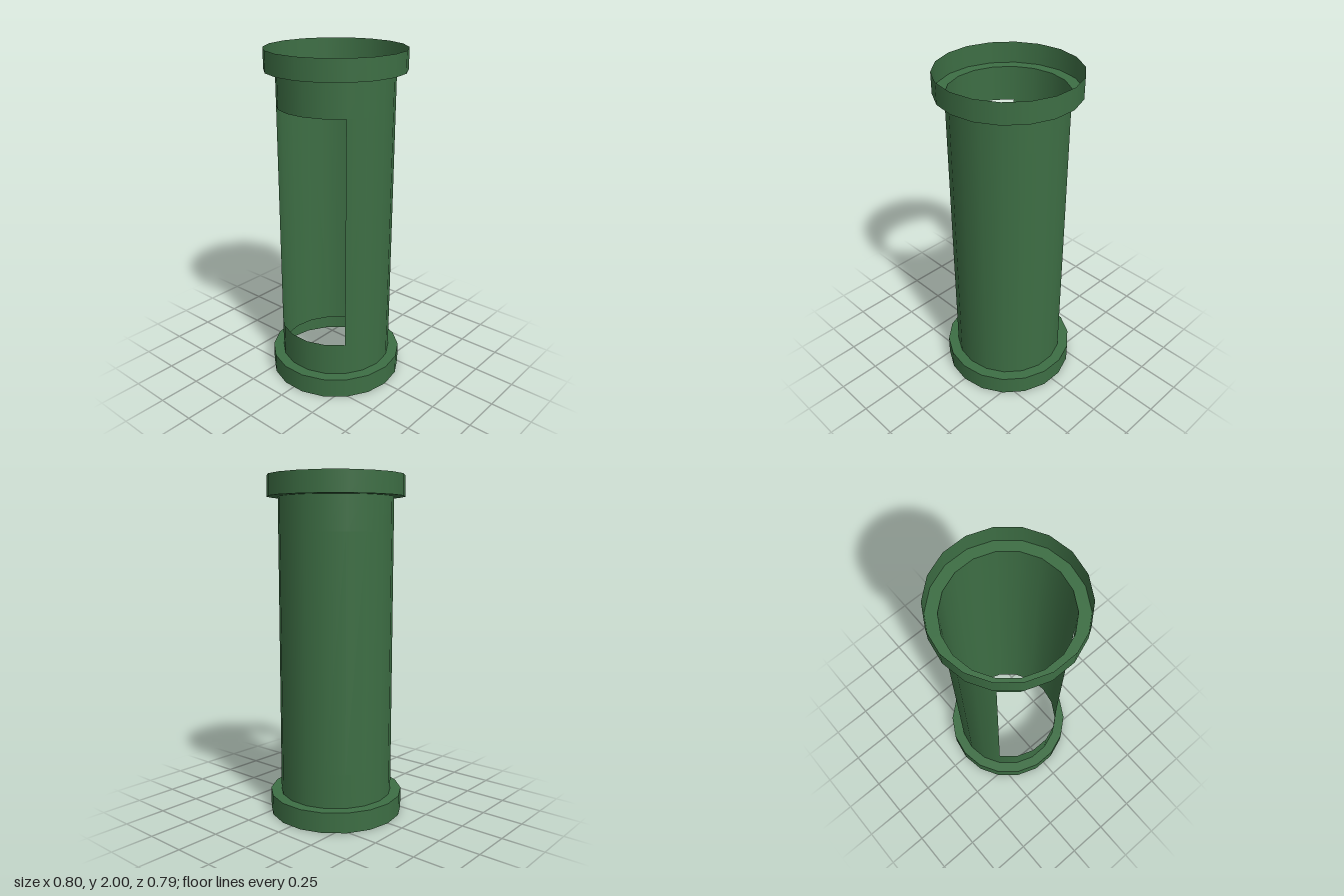
import * as THREE from 'three';

const SIDES = 18, STEP = (Math.PI * 2) / SIDES;
const TUBE_R = 0.336, RIM_R = 0.4, HEIGHT = 2, RIM_H = 0.12;
const WINDOW_LOW = 0.32, WINDOW_HIGH = 1.68, WINDOW_FACES = 5;

export function createModel() {
  const model = new THREE.Group();
  model.name = 'windowedTube';
  const material = new THREE.MeshStandardMaterial({ color: 0x3d6e44, side: THREE.DoubleSide });

  const add = (name, geometry, y) => {
    const mesh = new THREE.Mesh(geometry, material);
    mesh.name = name;
    mesh.position.y = y;
    model.add(mesh);
  };

  // Open wall between two heights, leaving out some faces centred on the front
  const addWall = (name, radius, y0, y1, missing = 0) => {
    const faces = SIDES - missing;
    const start = missing ? (missing * STEP) / 2 : Math.PI / 2;
    add(name, new THREE.CylinderGeometry(radius, radius, y1 - y0, faces, 1, true, start, faces * STEP), (y0 + y1) / 2);
  };

  // Flat ledge joining the tube to a rim
  const addLedge = (name, y) =>
    add(name, new THREE.RingGeometry(TUBE_R, RIM_R, SIDES).rotateX(-Math.PI / 2), y);

  // Tube with the front window cut out of its middle
  addWall('lowerTube', TUBE_R, RIM_H, WINDOW_LOW);
  addWall('windowTube', TUBE_R, WINDOW_LOW, WINDOW_HIGH, WINDOW_FACES);
  addWall('upperTube', TUBE_R, WINDOW_HIGH, HEIGHT - RIM_H);

  // Wider open rims at both ends
  addWall('bottomRim', RIM_R, 0, RIM_H);
  addLedge('bottomLedge', RIM_H);
  addWall('topRim', RIM_R, HEIGHT - RIM_H, HEIGHT);
  addLedge('topLedge', HEIGHT - RIM_H);

  return model;
}
